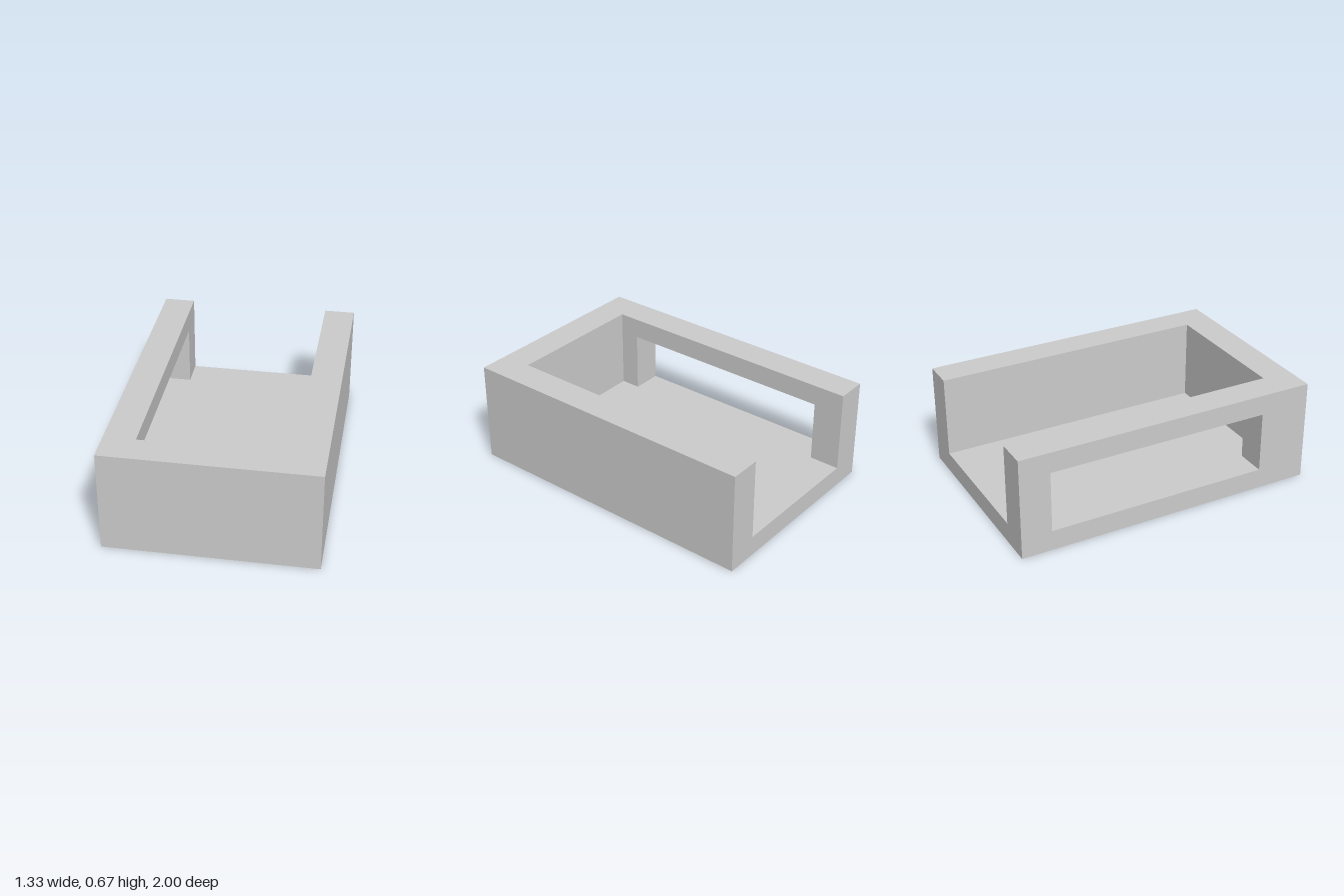
import * as THREE from 'three';

const W = 0.667, INNER = 0.467, HEIGHT = 0.667, FLOOR = 0.133;

// Straight extrusion of a closed outline
function prism(name, points, depth, material) {
  const shape = new THREE.Shape(points.map(([x, y]) => new THREE.Vector2(x, y)));
  const mesh = new THREE.Mesh(new THREE.ExtrudeGeometry(shape, { depth, bevelEnabled: false }), material);
  mesh.name = name;
  return mesh;
}

export function createModel() {
  const group = new THREE.Group();
  group.name = 'openTray';
  const material = new THREE.MeshStandardMaterial({ color: 0xcccccc, flatShading: true });

  // Floor slab
  const floor = new THREE.Mesh(new THREE.BoxGeometry(2 * W, FLOOR, 2), material);
  floor.name = 'floor';
  floor.position.y = FLOOR / 2;

  // Front wall and solid left wall: an L in plan (x, -z), extruded upward
  const solidWalls = prism('frontAndLeftWalls', [
    [-W, -1], [W, -1], [W, 1], [INNER, 1], [INNER, -0.8], [-W, -0.8],
  ], HEIGHT - FLOOR, material);
  solidWalls.rotation.x = -Math.PI / 2;
  solidWalls.position.y = FLOOR;

  // Right wall: an arch in (z, y) whose opening is flush with the floor
  const windowWall = prism('windowWall', [
    [-1, FLOOR], [-0.8, FLOOR], [-0.8, 0.533], [0.667, 0.533],
    [0.667, FLOOR], [0.8, FLOOR], [0.8, HEIGHT], [-1, HEIGHT],
  ], W - INNER, material);
  windowWall.rotation.y = -Math.PI / 2;
  windowWall.position.x = -INNER;

  group.add(floor, solidWalls, windowWall);
  return group;
}
